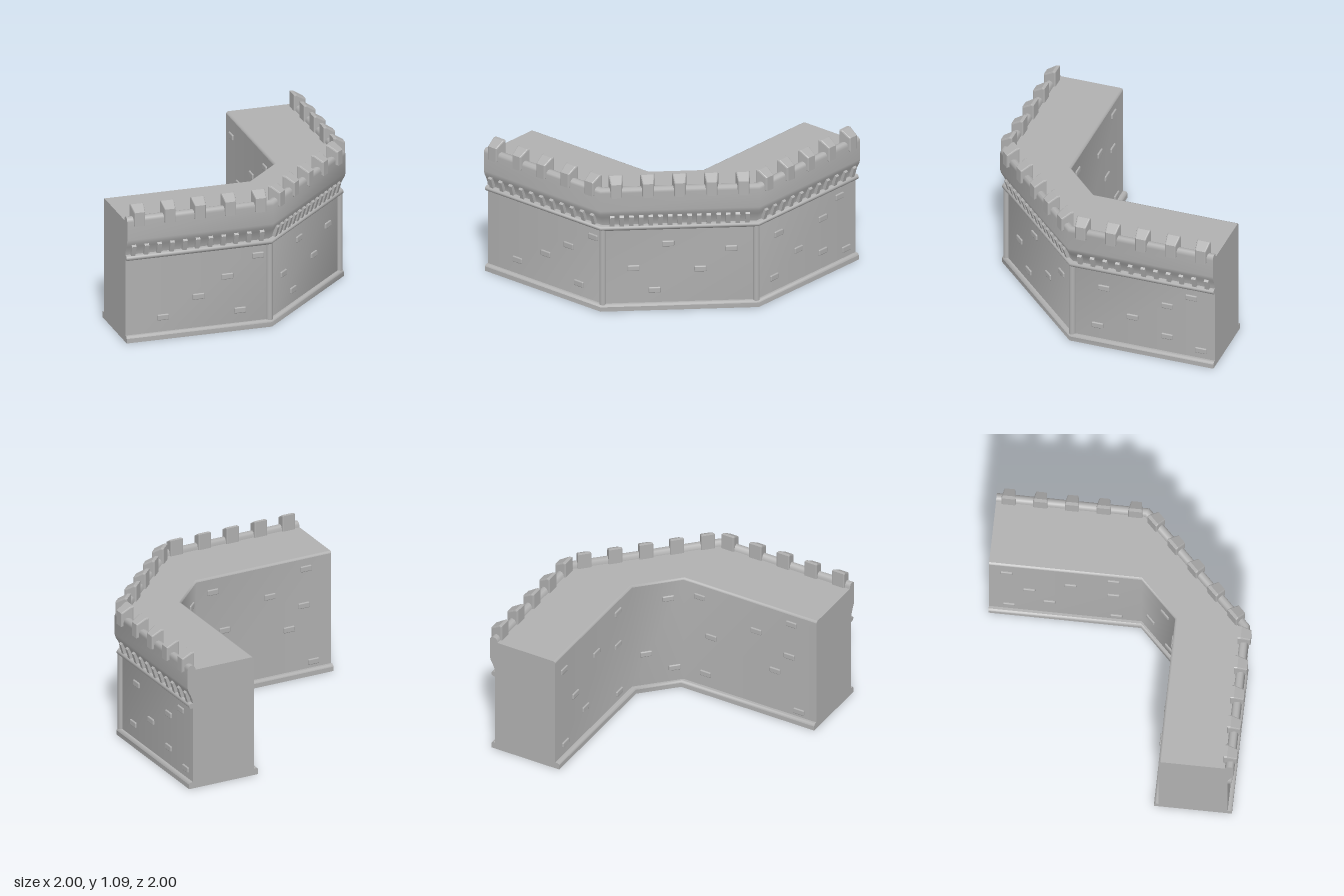
import * as THREE from 'three';
import { RoundedBoxGeometry } from 'three/addons/geometries/RoundedBoxGeometry.js';

const stone = new THREE.MeshStandardMaterial({ color: 0xb0b0b0 });
stone.name = 'grey stone';

// Plan path of the angled wall for a given distance d from the centre lines.
function planPath(d) {
  const c = d > 0.7 ? 0.14 - (0.98 - d) * 0.414 : 0.14;
  return [[-1, d], [c, d], [d, c], [d, -1]];
}

// Sweeps a closed cross-section, given as runs of [d, y] points, along the plan.
// Each run is smooth; edges between runs stay sharp. Both ends are capped.
function sweep(name, runs) {
  const pos = [], index = [];
  for (const run of runs) {
    const base = pos.length / 3, n = run.length;
    for (let i = 0; i < 4; i++) {
      for (const [d, y] of run) {
        const [x, z] = planPath(d)[i];
        pos.push(x, y, z);
      }
    }
    for (let i = 0; i < 3; i++) {
      for (let j = 0; j < n - 1; j++) {
        const a = base + i * n + j, b = a + n;
        index.push(a, b, b + 1, a, b + 1, a + 1);
      }
    }
  }
  const outline = runs.flatMap(run => run.slice(0, -1));
  const faces = THREE.ShapeUtils.triangulateShape(outline.map(p => new THREE.Vector2(...p)), []);
  for (const end of [0, 3]) {
    const base = pos.length / 3;
    for (const [d, y] of outline) {
      const [x, z] = planPath(d)[end];
      pos.push(x, y, z);
    }
    for (const [a, b, c] of faces) {
      if (end === 0) index.push(base + a, base + b, base + c);
      else index.push(base + a, base + c, base + b);
    }
  }
  const geo = new THREE.BufferGeometry();
  geo.setAttribute('position', new THREE.Float32BufferAttribute(pos, 3));
  geo.setIndex(index);
  geo.computeVertexNormals();
  return mesh(name, geo);
}

function mesh(name, geo) {
  const m = new THREE.Mesh(geo, stone);
  m.name = name;
  return m;
}

// Side profile [z, y] extruded across x, with softened edges.
function prism(profile, width, bevel) {
  const geo = new THREE.ExtrudeGeometry(new THREE.Shape(profile.map(p => new THREE.Vector2(...p))), {
    depth: width - 2 * bevel, bevelEnabled: bevel > 0, bevelSize: bevel,
    bevelThickness: bevel, bevelOffset: -bevel, bevelSegments: 2,
  });
  geo.translate(0, 0, bevel - width / 2);
  geo.rotateY(-Math.PI / 2);
  return geo;
}

export function createModel() {
  const model = new THREE.Group();
  model.name = 'cornerCastleWall';

  // Main wall with flared parapet, rounded rim and walkway
  model.add(sweep('wall', [
    [[0.935, 0.02], [0.935, 0.69]],
    [[0.935, 0.69], [0.94, 0.72], [0.957, 0.76], [0.973, 0.79], [0.98, 0.82], [0.98, 0.965],
      [0.975, 0.985], [0.963, 0.997], [0.947, 1.0], [0.928, 0.995], [0.917, 0.98], [0.914, 0.96]],
    [[0.914, 0.96], [0.435, 0.96]],
    [[0.435, 0.96], [0.424, 0.955], [0.42, 0.945]],
    [[0.42, 0.945], [0.42, 0.02]],
    [[0.42, 0.02], [0.935, 0.02]],
  ]));

  // Foot of the wall
  model.add(sweep('plinth', [
    [[0.967, 0], [0.967, 0.035]],
    [[0.967, 0.035], [0.962, 0.047], [0.95, 0.052]],
    [[0.95, 0.052], [0.4, 0.052]],
    [[0.4, 0.052], [0.389, 0.047], [0.385, 0.035]],
    [[0.385, 0.035], [0.385, 0]],
    [[0.385, 0], [0.967, 0]],
  ]));

  // Rounded moulding under the parapet
  model.add(sweep('stringCourse', [
    [[0.92, 0.648], [0.953, 0.65], [0.964, 0.66], [0.967, 0.67], [0.964, 0.68], [0.953, 0.69], [0.92, 0.692]],
    [[0.92, 0.692], [0.92, 0.648]],
  ]));

  // Round posts on the outer corners
  const postGeo = new THREE.CylinderGeometry(0.025, 0.025, 0.63, 16);
  for (const [x, z] of [[0.125, 0.933], [0.933, 0.125]]) {
    const post = mesh('cornerPost', postGeo);
    post.position.set(x, 0.355, z);
    model.add(post);
  }

  // Merlons narrow towards the outside
  const merlonGeo = prism([[0.9, 0.94], [0.965, 0.93], [0.998, 0.93], [0.998, 1.04], [0.925, 1.085], [0.9, 1.085]], 0.11, 0.01);
  const p = merlonGeo.attributes.position;
  for (let i = 0; i < p.count; i++) p.setX(i, p.getX(i) * (1 - 2.6 * (p.getZ(i) - 0.9)));
  merlonGeo.computeVertexNormals();

  const corbelGeo = prism([[0.925, 0.685], [0.957, 0.685], [0.981, 0.765], [0.965, 0.778]], 0.034, 0);
  const brickGeo = new RoundedBoxGeometry(0.092, 0.046, 0.03, 1, 0.008);

  // Wall panels: angle, plan shift along the normal, brick depth, bricks [along, y],
  // then [start, spacing, count] for merlons and corbels
  const q = Math.PI / 4;
  const panels = [
    { name: 'front', angle: 0, shift: 0, depth: 0.935, merlons: [-0.905, 0.2365, 5], corbels: [-0.945, 0.1, 11],
      bricks: [[-0.707, 0.165], [-0.43, 0.297], [-0.205, 0.43], [0.035, 0.57], [-0.105, 0.15]] },
    { name: 'diagonal', angle: q, shift: -0.188, depth: 0.935, merlons: [-0.474, 0.237, 5], corbels: [-0.504, 0.072, 15],
      bricks: [[-0.085, 0.527], [0.385, 0.473], [-0.342, 0.334], [0.155, 0.315], [-0.185, 0.152]] },
    { name: 'side', angle: 2 * q, shift: 0, depth: 0.935, merlons: [-0.04, 0.2365, 5], corbels: [-0.055, 0.1, 11],
      bricks: [[0.125, 0.505], [0.625, 0.457], [0.35, 0.297], [0.625, 0.187], [0.075, 0.165], [0.89, 0.12], [0.815, 0.57]] },
    { name: 'innerFront', angle: 4 * q, shift: 0, depth: -0.42,
      bricks: [[0.1, 0.51], [0.483, 0.7], [0.786, 0.865], [0.768, 0.57], [0.644, 0.4], [0.05, 0.165], [0.85, 0.1], [0, 0.84]] },
    { name: 'innerDiagonal', angle: -3 * q, shift: 0, depth: -0.396,
      bricks: [[0.08, 0.8], [-0.09, 0.33], [0.13, 0.17]] },
    { name: 'innerSide', angle: -2 * q, shift: 0, depth: -0.42,
      bricks: [[-0.87, 0.81], [-0.39, 0.675], [-0.07, 0.555], [-0.7, 0.49], [-0.55, 0.28], [-0.05, 0.12], [-0.85, 0.14], [-0.07, 0.85]] },
  ];
  for (const { name, angle, shift, depth, bricks, merlons, corbels } of panels) {
    const panel = new THREE.Group();
    panel.name = name + 'Details';
    panel.rotation.y = angle;
    panel.position.set(Math.sin(angle) * shift, 0, Math.cos(angle) * shift);
    for (const [along, y] of bricks) {
      const brick = mesh('brick', brickGeo);
      brick.position.set(along, y, depth - 0.003);
      panel.add(brick);
    }
    for (const [part, geo, row] of [['merlon', merlonGeo, merlons], ['corbel', corbelGeo, corbels]]) {
      if (!row) continue;
      for (let i = 0; i < row[2]; i++) {
        const m = mesh(part, geo);
        m.position.x = row[0] + i * row[1];
        panel.add(m);
      }
    }
    model.add(panel);
  }
  return model;
}
